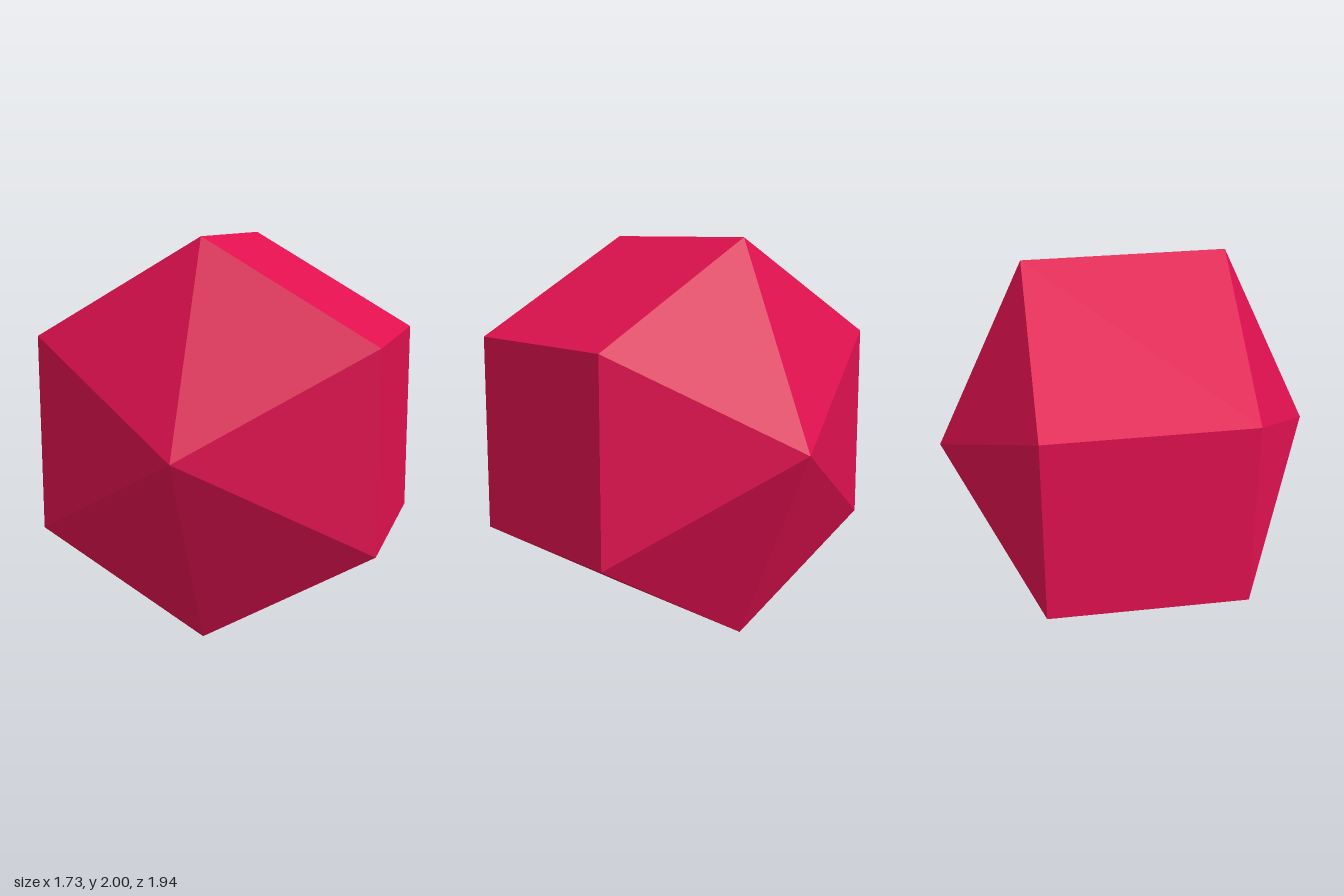
import * as THREE from 'three';

export function createModel() {
  const model = new THREE.Group();
  const crimson = new THREE.MeshStandardMaterial({ color: 0xe0114f });
  crimson.name = 'crimson';
  crimson.flatShading = true;

  const radius = 1, depth = 1, capHeight = 0.468;

  const addPart = (name, geometry, z) => {
    const mesh = new THREE.Mesh(geometry, crimson);
    mesh.name = name;
    mesh.position.set(0, radius, z);
    model.add(mesh);
  };

  // Hexagonal prism, axis along z, one corner pointing up
  addPart('prismSides',
    new THREE.CylinderGeometry(radius, radius, depth, 6, 1, true).rotateX(Math.PI / 2), 0);

  // Six-sided pyramid closing each end
  for (const [name, side] of [['frontPyramid', 1], ['backPyramid', -1]]) {
    addPart(name,
      new THREE.ConeGeometry(radius, capHeight, 6, 1, true).rotateX(side * Math.PI / 2),
      side * (depth + capHeight) / 2);
  }
  return model;
}
